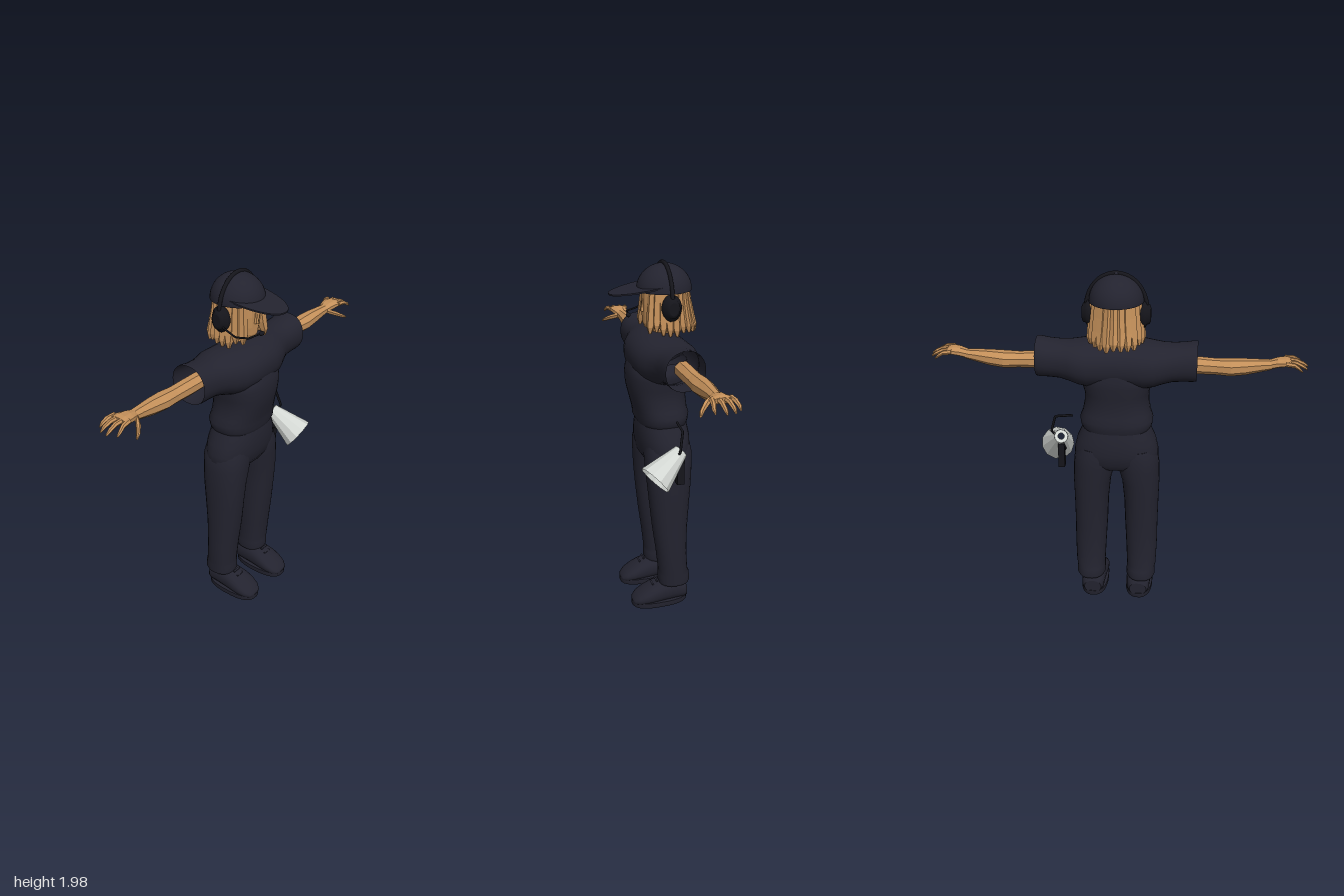
import * as THREE from 'three';

const mat = (name, color, extra = {}) => new THREE.MeshStandardMaterial({ name, color, ...extra });

// Skins a row of rings [pos, centreU, centreV, radiusU, radiusV] laid along one axis
// (y: u=x, v=z; x: u=z, v=y; z: u=y, v=x)
function loft(rings, { axis = 'y', n = 24, pow = 2, caps = true, flat = false } = {}) {
  const pos = [], idx = [];
  const put = (u, p, v) => pos.push(...(axis === 'y' ? [u, p, v] : axis === 'x' ? [p, v, u] : [v, u, p]));
  const round = t => Math.sign(t) * Math.pow(Math.abs(t), 2 / pow);
  const ring = ([p, cu, cv, ru, rv]) => {
    for (let j = 0; j < n; j++) {
      const a = ((j + 0.5) / n) * Math.PI * 2;
      put(cu + ru * round(Math.sin(a)), p, cv + rv * round(Math.cos(a)));
    }
  };
  rings.forEach(ring);
  for (let i = 0; i < rings.length - 1; i++) {
    for (let j = 0; j < n; j++) {
      const k = (j + 1) % n, a = i * n + j, b = i * n + k, c = b + n, d = a + n;
      idx.push(a, b, c, a, c, d);
    }
  }
  if (caps) {
    [rings[0], rings[rings.length - 1]].forEach((r, end) => {
      const base = pos.length / 3;
      ring(r);
      put(r[1], r[0], r[2]);
      for (let j = 0; j < n; j++) {
        const a = base + j, b = base + ((j + 1) % n);
        idx.push(base + n, end ? a : b, end ? b : a);
      }
    });
  }
  let g = new THREE.BufferGeometry();
  g.setAttribute('position', new THREE.Float32BufferAttribute(pos, 3));
  g.setIndex(idx);
  if (flat) g = g.toNonIndexed();
  g.computeVertexNormals();
  return g;
}

const rod = (pts, r) => {
  const path = new THREE.CurvePath();
  const v = pts.map(p => new THREE.Vector3(...p));
  for (let i = 1; i < v.length; i++) path.add(new THREE.LineCurve3(v[i - 1], v[i]));
  return new THREE.TubeGeometry(path, 24, r, 6);
};

export function createModel() {
  const model = new THREE.Group();
  const navy = mat('navy cloth', 0x23232f);
  const shirtCloth = mat('navy shirt cloth', 0x23232f, { side: THREE.DoubleSide });
  const tan = mat('tan skin and hair', 0xc4905a);
  const black = mat('black plastic', 0x15151b);
  const grey = mat('pale grey horn', 0xd3d7d3, { side: THREE.DoubleSide });
  const add = (name, geo, material, parent = model) => {
    const m = new THREE.Mesh(geo, material);
    m.name = name;
    parent.add(m);
    return m;
  };

  // Shirt: body plus one open tunnel forming shoulders and both sleeves
  add('shirtBody', loft([
    [1.11, 0, -0.035, 0.185, 0.135], [1.13, 0, -0.033, 0.196, 0.142], [1.165, 0, -0.034, 0.2, 0.146],
    [1.2, 0, -0.025, 0.186, 0.146], [1.26, 0, -0.014, 0.175, 0.151], [1.32, 0, -0.01, 0.176, 0.162],
    [1.38, 0, -0.012, 0.192, 0.167], [1.42, 0, -0.015, 0.19, 0.165], [1.46, 0, -0.018, 0.15, 0.156],
  ], { n: 36, pow: 2.4, caps: false }), shirtCloth);
  const half = [
    [0.425, -0.035, 1.505, 0.105, 0.105], [0.405, -0.036, 1.503, 0.109, 0.106], [0.36, -0.036, 1.499, 0.108, 0.102],
    [0.3, -0.037, 1.495, 0.112, 0.101], [0.25, -0.04, 1.49, 0.125, 0.107], [0.2, -0.038, 1.484, 0.145, 0.118],
    [0.15, -0.028, 1.48, 0.157, 0.126], [0.08, -0.018, 1.482, 0.163, 0.128],
  ];
  const shoulders = [...half.map(([x, ...r]) => [-x, ...r]), [0, -0.016, 1.484, 0.163, 0.128], ...[...half].reverse()];
  add('shirtSleeves', loft(shoulders, { axis: 'x', n: 32, pow: 2.2, caps: false }), shirtCloth);

  // Trousers
  add('hips', loft([
    [0.88, 0, -0.045, 0.2, 0.105], [0.92, 0, -0.045, 0.235, 0.132], [0.98, 0, -0.043, 0.232, 0.142],
    [1.04, 0, -0.04, 0.218, 0.143], [1.09, 0, -0.037, 0.195, 0.137], [1.15, 0, -0.035, 0.175, 0.128],
  ], { n: 36, pow: 2.3 }), navy);

  // Limbs are made once and mirrored
  for (const side of [1, -1]) {
    const g = new THREE.Group();
    g.name = side > 0 ? 'leftLimbs' : 'rightLimbs';
    g.scale.x = side;
    model.add(g);
    add('trouserLeg', loft([
      [0.135, 0.148, -0.075, 0.078, 0.088], [0.15, 0.147, -0.075, 0.085, 0.093], [0.195, 0.147, -0.073, 0.083, 0.091],
      [0.22, 0.15, -0.068, 0.085, 0.085], [0.35, 0.149, -0.057, 0.09, 0.088], [0.5, 0.145, -0.048, 0.094, 0.1],
      [0.65, 0.143, -0.045, 0.098, 0.113], [0.78, 0.138, -0.044, 0.106, 0.124], [0.88, 0.123, -0.044, 0.118, 0.131],
      [0.95, 0.115, -0.044, 0.118, 0.134], [1.0, 0.11, -0.044, 0.1, 0.125],
    ], { pow: 2.2 }), navy, g);

    // Shoe and sole
    add('shoe', loft([
      [-0.15, 0.065, 0.135, 0.04, 0.05], [-0.13, 0.08, 0.135, 0.06, 0.066], [-0.06, 0.085, 0.135, 0.07, 0.07],
      [0.0, 0.08, 0.135, 0.067, 0.074], [0.05, 0.072, 0.135, 0.06, 0.078], [0.1, 0.06, 0.135, 0.045, 0.077],
      [0.14, 0.048, 0.135, 0.032, 0.066], [0.165, 0.038, 0.135, 0.018, 0.045], [0.172, 0.034, 0.135, 0.006, 0.02],
    ], { axis: 'z', n: 20, pow: 2.3 }), navy, g);
    add('sole', loft([
      [0, 0.135, 0.01, 0.074, 0.158], [0.008, 0.135, 0.01, 0.08, 0.165], [0.035, 0.135, 0.01, 0.08, 0.165],
    ], { pow: 2.5 }), navy, g);
    for (const z of [0.03, 0.055]) {
      const lace = add('shoelace', new THREE.BoxGeometry(0.05, 0.008, 0.01), navy, g);
      lace.position.set(0.135, 0.17 - z * 0.7, z);
      lace.rotation.x = 0.4;
    }

    // Arm, palm, fingers and thumb
    add('arm', loft([
      [0.33, -0.05, 1.49, 0.048, 0.045], [0.43, -0.05, 1.487, 0.047, 0.046], [0.52, -0.052, 1.485, 0.046, 0.043],
      [0.6, -0.055, 1.485, 0.054, 0.046], [0.68, -0.052, 1.49, 0.045, 0.043], [0.76, -0.047, 1.498, 0.036, 0.033],
      [0.81, -0.044, 1.503, 0.034, 0.026],
    ], { axis: 'x', n: 8, flat: true }), tan, g);
    add('palm', loft([
      [0.8, -0.044, 1.503, 0.033, 0.026], [0.84, -0.04, 1.515, 0.046, 0.025], [0.88, -0.038, 1.522, 0.056, 0.021],
      [0.905, -0.038, 1.522, 0.055, 0.015],
    ], { axis: 'x', n: 8, flat: true }), tan, g);
    [[-0.085, -0.1, 0.965], [-0.055, -0.065, 0.993], [-0.022, -0.022, 1.0], [0.008, 0.024, 0.975]].forEach(([z0, z1, tip]) => {
      const len = tip - 0.89;
      add('finger', loft([
        [0.88, z0, 1.525, 0.014, 0.014], [0.89 + len * 0.45, (z0 + z1) / 2, 1.522, 0.013, 0.012],
        [0.89 + len * 0.8, z1, 1.506, 0.011, 0.01], [tip, z1, 1.492, 0.005, 0.005],
      ], { axis: 'x', n: 6, flat: true }), tan, g);
    });
    add('thumb', loft([
      [0.8, -0.025, 1.5, 0.014, 0.016], [0.83, 0.012, 1.485, 0.018, 0.016],
      [0.865, 0.045, 1.466, 0.013, 0.012], [0.89, 0.06, 1.452, 0.006, 0.006],
    ], { axis: 'x', n: 6, flat: true }), tan, g);

    // Ear cups
    const cup = add('earCup', loft([
      [0.115, -0.053, 1.76, 0.042, 0.058], [0.13, -0.053, 1.76, 0.052, 0.07], [0.15, -0.053, 1.76, 0.052, 0.07],
      [0.158, -0.053, 1.76, 0.04, 0.055], [0.172, -0.053, 1.76, 0.036, 0.05], [0.178, -0.053, 1.76, 0.024, 0.034],
    ], { axis: 'x', n: 16 }), black, g);
    cup.name = 'earCup';
  }

  // Head and neck
  add('neck', loft([[1.57, 0, -0.05, 0.06, 0.06], [1.7, 0, -0.05, 0.055, 0.06]], { n: 10, flat: true }), tan);
  add('head', loft([
    [1.635, 0, 0.005, 0.038, 0.045], [1.66, 0, -0.01, 0.058, 0.07], [1.7, 0, -0.03, 0.085, 0.092],
    [1.76, 0, -0.045, 0.102, 0.11], [1.87, 0, -0.05, 0.108, 0.115],
  ], { n: 12, pow: 2.3, flat: true }), tan);
  add('nose', loft([
    [1.72, 0, 0.058, 0.016, 0.02], [1.735, 0, 0.058, 0.014, 0.018], [1.79, 0, 0.055, 0.007, 0.008],
  ], { n: 5, flat: true }), tan);

  // Hair: overlapping tapered locks around the sides and back
  const locks = 19;
  for (let i = 0; i < locks; i++) {
    const a = THREE.MathUtils.lerp(0.72, Math.PI * 2 - 0.72, i / (locks - 1));
    const s = Math.sin(a), c = Math.cos(a), back = Math.max(0, -c);
    const end = 1.605 + 0.014 * ((i * 7) % 4) / 3 + (c > 0.5 ? 0.015 : 0);
    const at = (y, r, w) => [y, s * r, -0.055 + c * (r + back * (r - 0.105) * 0.9), w, w];
    add('hairLock', loft([
      at(end, 0.138, 0.008), at(end + 0.035, 0.134, 0.022), at(1.7, 0.122, 0.029),
      at(1.77, 0.113, 0.029), at(1.87, 0.105, 0.026),
    ], { n: 5, flat: true }), tan);
  }

  // Cap
  const crown = add('capCrown', new THREE.SphereGeometry(1, 32, 14, 0, Math.PI * 2, 0, Math.PI / 2), shirtCloth);
  crown.scale.set(0.141, 0.138, 0.148);
  crown.position.set(0, 1.83, -0.056);
  const bill = new THREE.Shape();
  bill.moveTo(-0.13, -0.03);
  bill.lineTo(0.13, -0.03);
  bill.bezierCurveTo(0.128, 0.1, 0.1, 0.19, 0.045, 0.235);
  bill.quadraticCurveTo(0, 0.26, -0.045, 0.235);
  bill.bezierCurveTo(-0.1, 0.19, -0.128, 0.1, -0.13, -0.03);
  const billMesh = add('capBill', new THREE.ExtrudeGeometry(bill, { depth: 0.008, bevelEnabled: false, curveSegments: 10 }), navy);
  billMesh.rotation.x = Math.PI / 2 + 0.15;
  billMesh.position.set(0, 1.863, 0);
  add('capButton', new THREE.SphereGeometry(0.012, 10, 6), navy).position.set(0, 1.968, -0.056);

  // Headset band and microphone
  const band = add('headsetBand', new THREE.TorusGeometry(0.157, 0.011, 8, 32, Math.PI), black);
  band.scale.y = 1.18;
  band.position.set(0, 1.785, -0.053);
  add('microphoneBoom', rod([[-0.165, 1.735, -0.04], [-0.165, 1.698, 0.06], [-0.13, 1.695, 0.115], [-0.04, 1.695, 0.128]], 0.005), black);
  const mic = add('microphone', new THREE.SphereGeometry(0.012, 10, 8), black);
  mic.scale.x = 1.6;
  mic.position.set(-0.04, 1.695, 0.13);

  // Loudhailer hanging by the left hip
  const narrow = new THREE.Vector3(0.31, 1.03, -0.055), wide = new THREE.Vector3(0.357, 0.9, 0.105);
  const axis = wide.clone().sub(narrow);
  const horn = new THREE.Group();
  horn.name = 'loudhailer';
  horn.position.copy(narrow).addScaledVector(axis, 0.5);
  horn.quaternion.setFromUnitVectors(new THREE.Vector3(0, 1, 0), axis.clone().normalize());
  model.add(horn);
  const cone = new THREE.CylinderGeometry(0.095, 0.038, axis.length(), 11, 1, true).toNonIndexed();
  cone.computeVertexNormals();
  add('hornCone', cone, grey, horn);
  const rim = add('hornBackRim', new THREE.RingGeometry(0.018, 0.038, 11), grey, horn);
  rim.rotation.x = Math.PI / 2;
  rim.position.y = -axis.length() / 2;
  add('hornGrip', new THREE.BoxGeometry(0.036, 0.15, 0.04), black).position.set(0.31, 0.915, -0.05);
  add('hornTrigger', new THREE.BoxGeometry(0.035, 0.025, 0.06), black).position.set(0.308, 0.94, 0.0);
  add('hornHandle', rod([[0.24, 1.165, -0.055], [0.34, 1.152, -0.052], [0.368, 1.045, -0.03], [0.335, 1.02, -0.03]], 0.007), black);

  return model;
}
